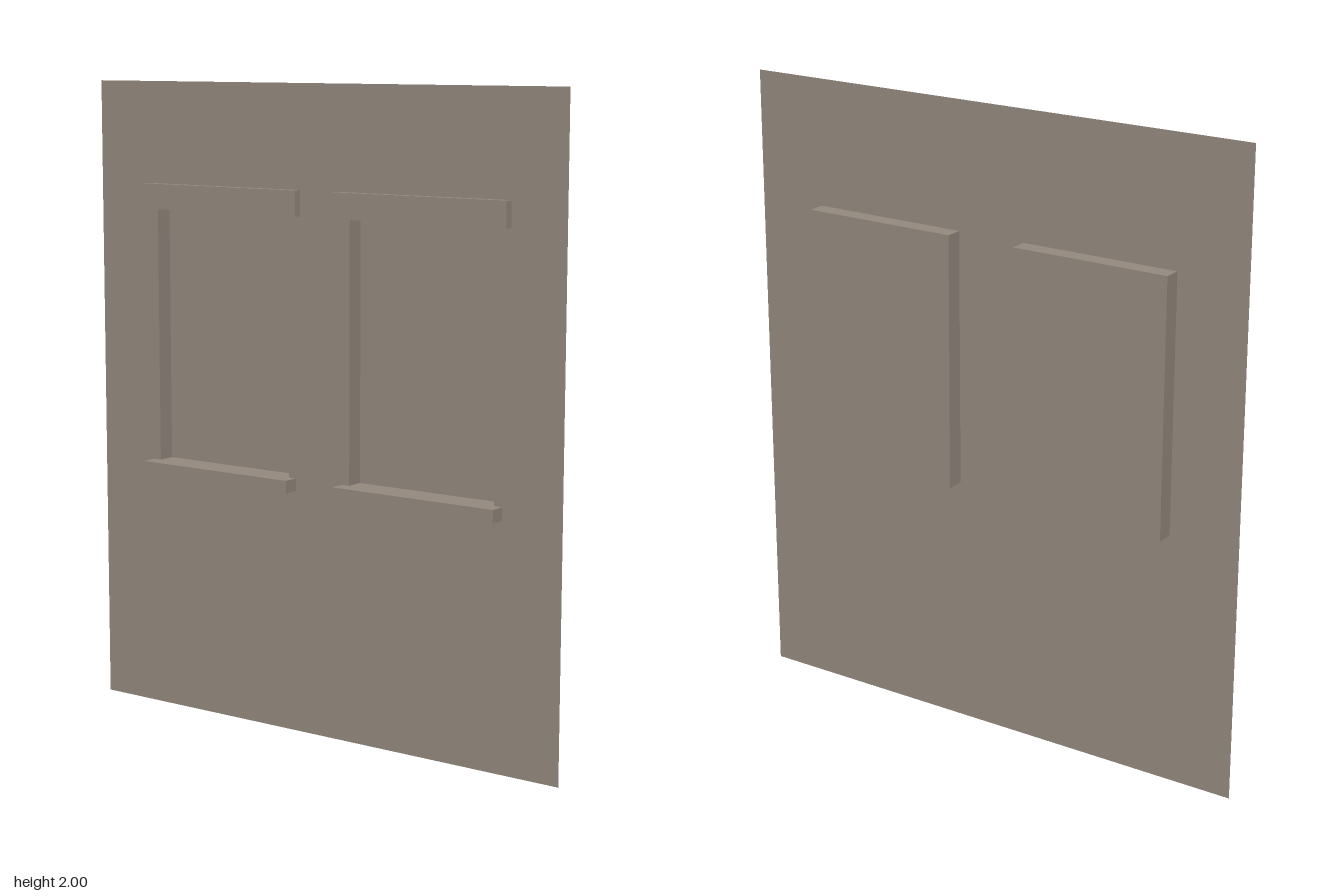
import * as THREE from 'three';

export function createModel() {
  const model = new THREE.Group();
  model.name = 'wallWithWindows';
  const stone = new THREE.MeshStandardMaterial({ color: 0x968b80, side: THREE.DoubleSide });
  stone.name = 'warmGreyStone';

  const wallZ = 0.003, backZ = -0.053;
  const centreX = 0.371, halfW = 0.257, bottom = 0.80, top = 1.603;

  const add = (parent, name, geometry) => {
    const mesh = new THREE.Mesh(geometry, stone);
    mesh.name = name;
    parent.add(mesh);
    return mesh;
  };
  // Box given by its half width and its y and z limits
  const block = (hw, y0, y1, z0, z1) =>
    new THREE.BoxGeometry(hw * 2, y1 - y0, z1 - z0).translate(0, (y0 + y1) / 2, (z0 + z1) / 2);
  const rect = (path, x0, y0, x1, y1) =>
    path.moveTo(x0, y0).lineTo(x1, y0).lineTo(x1, y1).lineTo(x0, y1).closePath();

  // Thin wall sheet with two window openings
  const wall = rect(new THREE.Shape(), -0.857, 0, 0.857, 2);
  for (const side of [-1, 1]) {
    const x = side * centreX;
    wall.holes.push(rect(new THREE.Path(), x - halfW, bottom, x + halfW, top));
  }
  add(model, 'wall', new THREE.ShapeGeometry(wall).translate(0, 0, wallZ));

  for (const side of [-1, 1]) {
    const frame = new THREE.Group();
    frame.name = side > 0 ? 'leftWindow' : 'rightWindow';
    frame.position.x = side * centreX;

    // Recess: a shallow box whose front face is left out
    const recess = block(halfW, bottom, top, backZ, wallZ);
    recess.setIndex(Array.from(recess.index.array).filter((_, i) => i < 24 || i >= 30));
    recess.clearGroups();
    add(frame, 'recess', recess);

    // Lintel above and sill below
    add(frame, 'lintel', block(0.302, top, 1.682, wallZ, 0.029));
    add(frame, 'sill', block(0.284, 0.76, bottom, wallZ, 0.053));
    model.add(frame);
  }
  return model;
}
